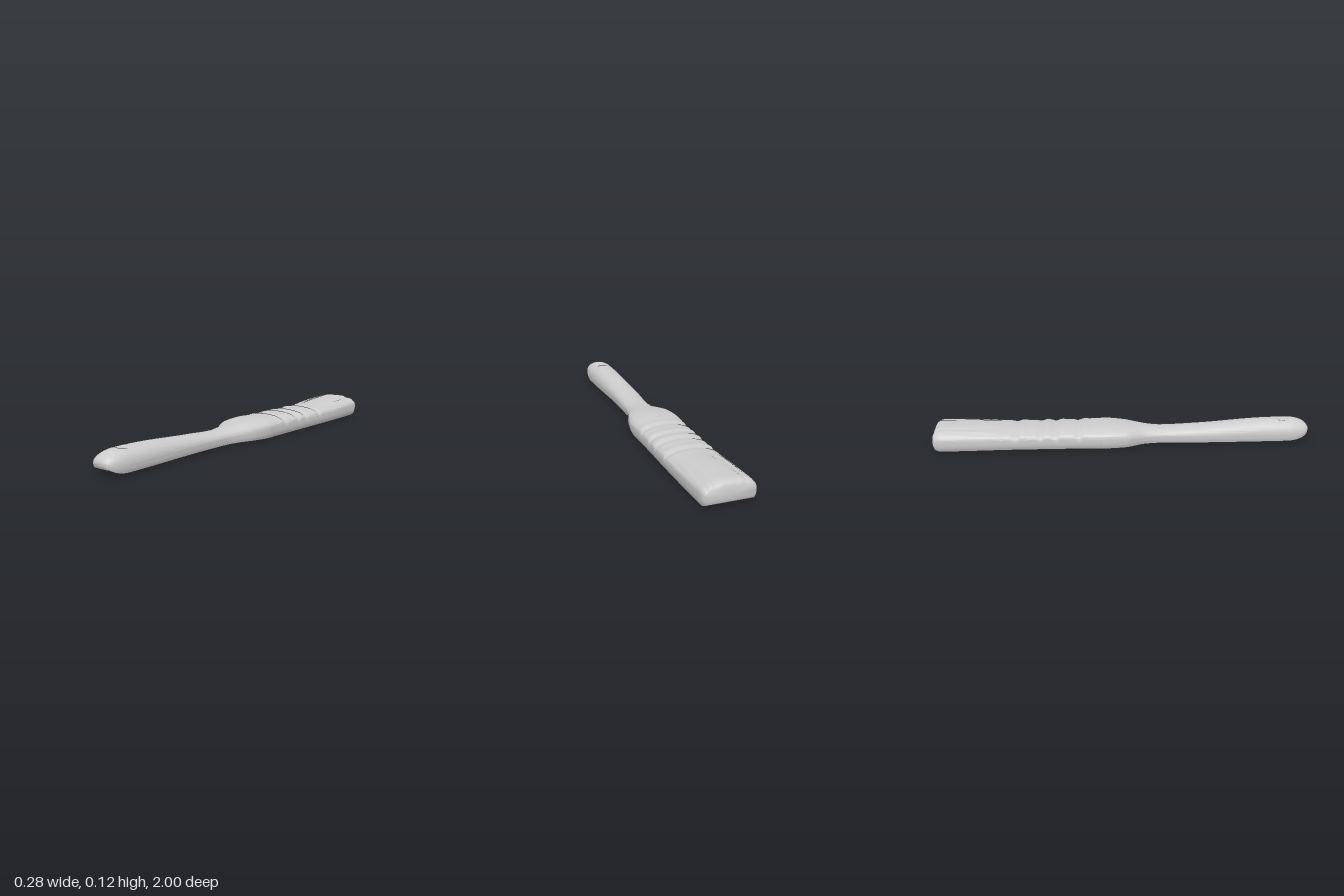
import * as THREE from 'three';
import { toCreasedNormals } from 'three/addons/utils/BufferGeometryUtils.js';

const { lerp, smoothstep, clamp } = THREE.MathUtils;

// Outline along the brush: z, left x, right x, top height
const OUTLINE = [
  [-1, -0.136, 0.134, 0.116],
  [-0.8, -0.134, 0.136, 0.111],
  [-0.6, -0.13, 0.135, 0.1],
  [-0.22, -0.133, 0.13, 0.103],
  [-0.1, -0.14, 0.131, 0.108],
  [0, -0.134, 0.115, 0.101],
  [0.12, -0.089, 0.075, 0.086],
  [0.2, -0.08, 0.06, 0.08],
  [0.4, -0.089, 0.056, 0.09],
  [0.8, -0.092, 0.067, 0.114],
  [1, -0.089, 0.068, 0.115],
];

// Smooth interpolation of the outline without overshoot
function outlineAt(z) {
  const S = OUTLINE, last = S.length - 1;
  let i = 0;
  while (i < last - 1 && z > S[i + 1][0]) i++;
  const h = S[i + 1][0] - S[i][0], t = (z - S[i][0]) / h;
  const slope = (k, c) => {
    if (k === 0 || k === last) return 0;
    const s0 = (S[k][c] - S[k - 1][c]) / (S[k][0] - S[k - 1][0]);
    const s1 = (S[k + 1][c] - S[k][c]) / (S[k + 1][0] - S[k][0]);
    return s0 * s1 <= 0 ? 0 : 2 * s0 * s1 / (s0 + s1);
  };
  return [1, 2, 3].map((c) =>
    S[i][c] * (1 + 2 * t) * (1 - t) ** 2 + S[i + 1][c] * t * t * (3 - 2 * t) +
    h * (slope(i, c) * t * (1 - t) ** 2 - slope(i + 1, c) * t * t * (1 - t)));
}

// Section dimensions: square in the body, oval in the handle, rounded at both ends
function stationAt(z) {
  const [xl, xr, top] = outlineAt(z);
  const body = 1 - smoothstep(z, -0.12, 0.14);
  const round = (d) => Math.sqrt(1 - clamp(d, 0, 1) ** 2);
  const tip = Math.max(round((z - 0.88) / 0.12), 0.15);
  const back = round((-0.95 - z) / 0.05);
  const f = tip * lerp(0.55, 1, back);
  return {
    cx: (xl + xr) / 2 - 0.002 * (1 - tip),
    hw: (xr - xl) / 2 * Math.sqrt(tip) * lerp(0.87, 1, back),
    top: 0.06 + (top - 0.06) * f,
    bottom: 0.06 - (0.056 + 0.004 * body) * f,
    side: lerp(0.06, 0.04, f),
    power: 2.2 + 2.8 * body,
    roof: 0.3 * body,
  };
}

// Surface relief: hanging dimple, ferrule crimps and bristle streaks
function relief(x, z, u) {
  const bump = (d, w) => Math.exp(-(d * d) / (w * w));
  const r = Math.hypot(x + 0.012, z - 0.86);
  let d = -0.007 * (1 - smoothstep(r, 0.022, 0.038));
  for (const g of [-0.24, -0.36, -0.44, -0.57]) {
    d -= (0.003 + 0.006 * u * u) * bump(z - g, 0.016);
    d += 0.003 * bump(z - g - 0.035, 0.02);
  }
  const k = smoothstep(-z, 0.58, 0.75);
  return d + k * (0.0018 * Math.sin(x * 130 + 2 * Math.sin(z * 5)) + 0.0012 * Math.sin(x * 240 + z * 9));
}

const ARC = 44, SIDE = 4;

// One closed cross-section: domed top, short tucked sides, flat underside
function section(z) {
  const { cx, hw, top, bottom, side, power, roof } = stationAt(z), pts = [];
  for (let j = 0; j <= ARC; j++) {
    const a = Math.PI * (1 - j / ARC), c = Math.cos(a);
    const u = Math.sign(c) * Math.abs(c) ** (2 / power);
    const v = Math.max(Math.sin(a), 0) ** (2 / power);
    const x = cx + u * hw;
    pts.push([x, side + (top - side) * v * (1 - roof * u * u) + relief(x, z, u) * Math.min(1, v * 1.5)]);
  }
  const lower = (s, k) => {
    const f = k / SIDE;
    pts.push([cx + s * hw * (1 - 0.09 * f * f), side + (bottom - side) * f]);
  };
  for (let k = 1; k <= SIDE; k++) lower(1, k);
  for (let k = SIDE; k >= 1; k--) lower(-1, k);
  return pts;
}

// Loft a stretch of the brush, optionally closing an end
function loft(name, z0, z1, steps, capStart, capEnd) {
  const pos = [], idx = [], m = ARC + 1 + 2 * SIDE;
  for (let i = 0; i <= steps; i++) {
    const z = lerp(z0, z1, i / steps);
    for (const [x, y] of section(z)) pos.push(x, y, z);
  }
  for (let i = 0; i < steps; i++) for (let j = 0; j < m; j++) {
    const a = i * m + j, b = i * m + (j + 1) % m;
    idx.push(a, a + m, b, b, a + m, b + m);
  }
  const cap = (row, z, flip) => {
    const { cx, side } = stationAt(z), c = pos.length / 3;
    pos.push(cx, side, z);
    for (let j = 0; j < m; j++) {
      const a = row * m + j, b = row * m + (j + 1) % m;
      idx.push(c, flip ? b : a, flip ? a : b);
    }
  };
  if (capStart) cap(0, z0, false);
  if (capEnd) cap(steps, z1, true);
  const geo = new THREE.BufferGeometry();
  geo.setAttribute('position', new THREE.Float32BufferAttribute(pos, 3));
  geo.setIndex(idx);
  const mesh = new THREE.Mesh(toCreasedNormals(geo, 0.8),
    new THREE.MeshStandardMaterial({ color: 0xcccccc, side: THREE.DoubleSide }));
  mesh.name = name;
  return mesh;
}

export function createModel() {
  const group = new THREE.Group();
  group.name = 'paintbrush';
  group.add(
    loft('bristles', -1, -0.6, 60, true, false),
    loft('ferrule', -0.6, -0.2, 60, false, false),
    loft('handle', -0.2, 1, 180, false, true),
  );
  return group;
}
